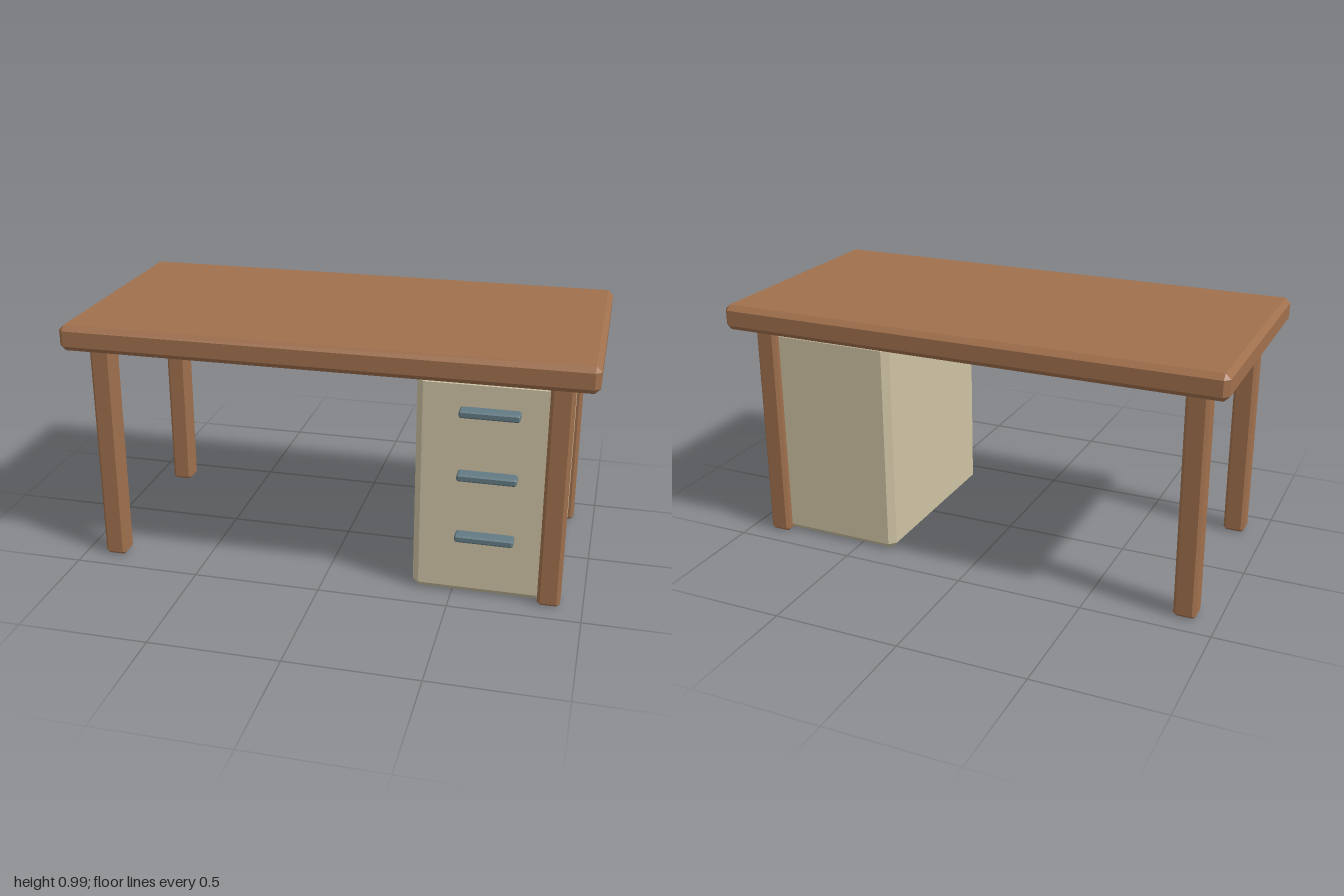
import * as THREE from 'three';
import { ConvexGeometry } from 'three/addons/geometries/ConvexGeometry.js';

// Box with flat chamfers of size c on every edge and corner
function chamferBox(w, h, d, c) {
  const points = [];
  for (const sx of [-1, 1]) for (const sy of [-1, 1]) for (const sz of [-1, 1]) {
    const x = w / 2, y = h / 2, z = d / 2;
    points.push(
      new THREE.Vector3(sx * x, sy * (y - c), sz * (z - c)),
      new THREE.Vector3(sx * (x - c), sy * y, sz * (z - c)),
      new THREE.Vector3(sx * (x - c), sy * (y - c), sz * z)
    );
  }
  return new ConvexGeometry(points);
}

function material(name, color) {
  const m = new THREE.MeshStandardMaterial({ color });
  m.name = name;
  return m;
}

export function createModel() {
  const desk = new THREE.Group();
  desk.name = 'desk';
  const wood = material('wood', 0xa0704d);
  const cream = material('cream paint', 0xcdc2a3);
  const steel = material('blue grey steel', 0x627a83);

  function add(name, geometry, mat, x, y, z) {
    const mesh = new THREE.Mesh(geometry, mat);
    mesh.name = name;
    mesh.position.set(x, y, z);
    desk.add(mesh);
  }

  // Table top
  add('tableTop', chamferBox(2, 0.1, 1, 0.02), wood, 0, 0.94, 0);

  // Four legs, set slightly into the top
  const leg = chamferBox(0.086, 0.91, 0.087, 0.012);
  for (const [side, x] of [['Left', 0.872], ['Right', -0.875]]) {
    add('front' + side + 'Leg', leg, wood, x, 0.455, 0.375);
    add('back' + side + 'Leg', leg, wood, x, 0.455, -0.375);
  }

  // Drawer cabinet between the left legs
  add('drawerCabinet', chamferBox(0.547, 0.876, 0.776, 0.025), cream, 0.619, 0.438, 0);

  // Drawer handles
  const handle = chamferBox(0.22, 0.028, 0.06, 0.006);
  for (const y of [0.253, 0.503, 0.753]) {
    add('drawerHandle', handle, steel, 0.62, y, 0.408);
  }

  return desk;
}
